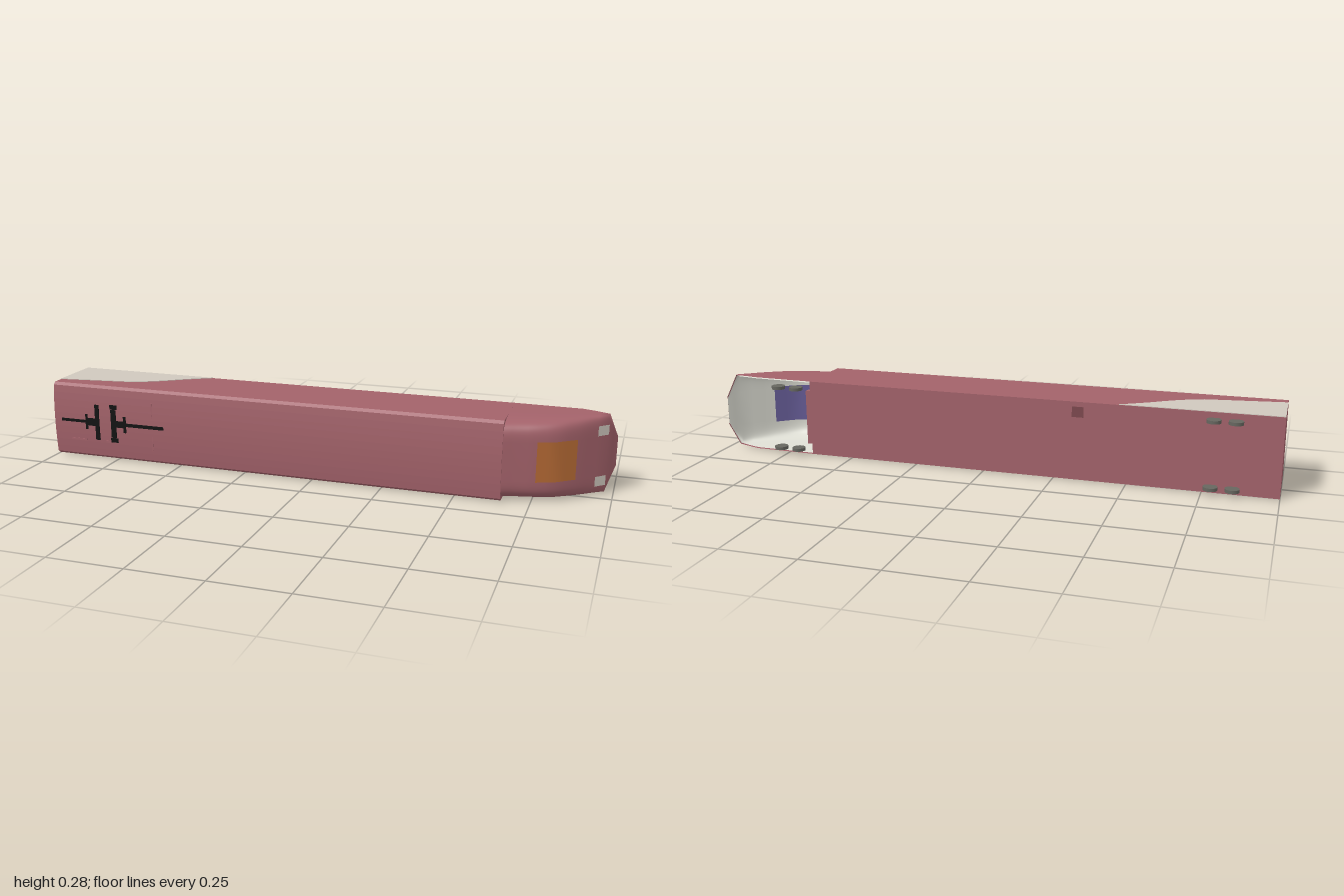
import * as THREE from 'three';

const MID = 0.139; // centre line of the car, which lies on its side
const RED = 0xa3626a;

const mat = (color, extra = {}) => new THREE.MeshStandardMaterial({ color, ...extra });
const red = mat(RED);
const redShell = mat(RED, { side: THREE.DoubleSide });
const pale = mat(0xcfc8bd, { side: THREE.DoubleSide });
const lining = mat(0xe0e0d6, { side: THREE.DoubleSide });
const orange = mat(0xb56a35, { side: THREE.DoubleSide });
const purple = mat(0x6a609c, { side: THREE.DoubleSide });
const black = mat(0x111111);
const wheelGrey = mat(0x66665f);

// Smooth sheet through equal rows of [x, y, z] points
function sheet(rows) {
  const n = rows[0].length;
  const index = [];
  for (let i = 0; i < rows.length - 1; i++) {
    for (let j = 0; j < n - 1; j++) {
      const a = i * n + j, b = a + n;
      index.push(a, b, a + 1, b, b + 1, a + 1);
    }
  }
  const g = new THREE.BufferGeometry();
  g.setAttribute('position', new THREE.Float32BufferAttribute(rows.flat(2), 3));
  g.setIndex(index);
  g.computeVertexNormals();
  return g;
}

// Linear interpolation in a list of [x, value]
function lookup(table, x) {
  for (let i = 1; i < table.length; i++) {
    const [x0, v0] = table[i - 1], [x1, v1] = table[i];
    if (x <= x1) return v0 + (v1 - v0) * (x - x0) / (x1 - x0);
  }
  return table[table.length - 1][1];
}

const noseTop = [[0.65, 0.143], [0.7, 0.128], [0.76, 0.112], [0.82, 0.088], [0.88, 0.04],
  [0.94, -0.02], [0.97, -0.05], [0.99, -0.085], [1, -0.097]];
const noseBottom = [[0.65, -0.105], [0.88, -0.1], [0.93, -0.088], [0.97, -0.076], [1, -0.101]];
const noseHalfWidth = [[0.65, 0.136], [0.9, 0.136], [0.97, 0.133], [1, 0.05]];

// Open-bottomed nose shell, moved inwards by inset
function noseShell(inset) {
  const stations = [0.65, 0.68, 0.7, 0.73, 0.76, 0.79, 0.82, 0.85, 0.88, 0.91, 0.94, 0.97, 0.985, 1];
  const e = 0.3;
  return sheet(stations.map((x) => {
    const zb = lookup(noseBottom, x);
    const zt = Math.max(lookup(noseTop, x) - inset, zb + 0.001);
    const hw = lookup(noseHalfWidth, x) - inset;
    const row = [];
    for (let k = 0; k <= 36; k++) {
      const a = Math.PI * k / 36;
      const c = Math.cos(a), s = Math.max(0, Math.sin(a));
      row.push([x - inset * 0.5, MID + hw * Math.sign(c) * Math.abs(c) ** e, zb + (zt - zb) * s ** e]);
    }
    return row;
  }));
}

// Patch that follows the slope of the nose
const nosePatch = (xs, y0, y1, lift) => sheet(xs.map((x) => {
  const z = lookup(noseTop, x) + lift;
  return [[x + lift * 0.6, y0, z], [x + lift * 0.6, y1, z]];
}));

export function createModel() {
  const model = new THREE.Group();
  const add = (name, geometry, material, parent = model) => {
    const mesh = new THREE.Mesh(geometry, material);
    mesh.name = name;
    parent.add(mesh);
    return mesh;
  };
  const box = (name, x0, x1, y0, y1, z0, z1, material, parent) => {
    const g = new THREE.BoxGeometry(x1 - x0, y1 - y0, z1 - z0);
    g.translate((x0 + x1) / 2, (y0 + y1) / 2, (z0 + z1) / 2);
    return add(name, g, material, parent);
  };

  // Long body: flat floor, straight sides, bevelled eaves and a gently arched roof
  const section = new THREE.Shape();
  section.moveTo(0.105, 0.003);
  section.lineTo(0.105, 0.275);
  section.lineTo(-0.128, 0.275);
  section.lineTo(-0.139, 0.266);
  section.quadraticCurveTo(-0.153, MID, -0.139, 0.012);
  section.lineTo(-0.128, 0.003);
  section.closePath();
  const body = new THREE.ExtrudeGeometry(section, { depth: 1.655, bevelEnabled: false, curveSegments: 10 });
  body.rotateY(Math.PI / 2).translate(-1, 0, 0);
  add('body', body, red);

  // Nose with pale lining, windscreen and lamps
  const nose = new THREE.Group();
  nose.name = 'nose';
  model.add(nose);
  add('noseShell', noseShell(0), redShell, nose);
  add('noseLining', noseShell(0.004), lining, nose);
  add('windscreen', nosePatch([0.76, 0.79, 0.82, 0.85, 0.88], 0.072, 0.208, 0.003), orange, nose);
  add('windscreenInside', nosePatch([0.76, 0.79, 0.82, 0.85, 0.88], 0.072, 0.208, -0.009), purple, nose);
  for (const s of [-1, 1]) {
    const y = MID + s * 0.087;
    add('headlamp', nosePatch([0.938, 0.955, 0.97], y - 0.017, y + 0.017, 0.004), pale, nose);
  }
  box('crossBeam', 0.65, 0.675, 0.04, 0.238, -0.1, -0.075, red, nose);

  // Pale sweep on both sides at the rear
  const sweep = new THREE.Shape();
  sweep.moveTo(-1, -0.103);
  sweep.lineTo(-0.47, -0.103);
  sweep.quadraticCurveTo(-0.53, -0.07, -0.58, -0.035);
  sweep.quadraticCurveTo(-0.66, 0.025, -0.73, 0.048);
  sweep.lineTo(-1, 0.088);
  sweep.closePath();
  for (const y of [0.277, 0.003]) {
    const g = new THREE.ExtrudeGeometry(sweep, { depth: 0.002, bevelEnabled: false });
    g.rotateX(Math.PI / 2).translate(0, y, 0);
    add('sideSweep', g, pale);
  }

  // Wheels
  for (const x of [-0.85, -0.78, 0.7, 0.77]) {
    for (const y of [0.025, 0.251]) {
      const wheel = add('wheel', new THREE.CylinderGeometry(0.024, 0.024, 0.011, 20), wheelGrey);
      wheel.position.set(x, y, -0.125);
    }
  }

  // Current collector on the roof
  const collector = new THREE.Group();
  collector.name = 'currentCollector';
  model.add(collector);
  const bars = [ // x range, half width
    [-0.97, -0.87, 0.005], [-0.87, -0.83, 0.014], [-0.83, -0.814, 0.066],
    [-0.765, -0.745, 0.052], [-0.745, -0.705, 0.012], [-0.715, -0.705, 0.03], [-0.705, -0.555, 0.006],
  ];
  for (const [x0, x1, h] of bars) box('collectorBar', x0, x1, MID - h, MID + h, 0.142, 0.149, black, collector);
  for (const s of [-1, 1]) {
    const y = MID + s * 0.062;
    box('collectorHook', -0.768, -0.74, y - 0.008, y + 0.008, 0.142, 0.1485, black, collector);
    box('collectorClip', -0.87, -0.862, MID + s * 0.02 - 0.008, MID + s * 0.02 + 0.008, 0.142, 0.149, black, collector);
  }

  // Roof steps, roof panel seam and floor hatch
  box('roofStep', -0.935, -0.87, 0.065, 0.072, 0.143, 0.1463, red);
  box('roofStep', -0.79, -0.765, 0.065, 0.072, 0.143, 0.1463, red);
  box('roofSeam', -0.602, -0.599, 0.05, 0.228, 0.143, 0.1455, red);
  box('floorHatch', -0.352, -0.312, 0.222, 0.258, -0.1065, -0.104, mat(0x7d484e));

  return model;
}
